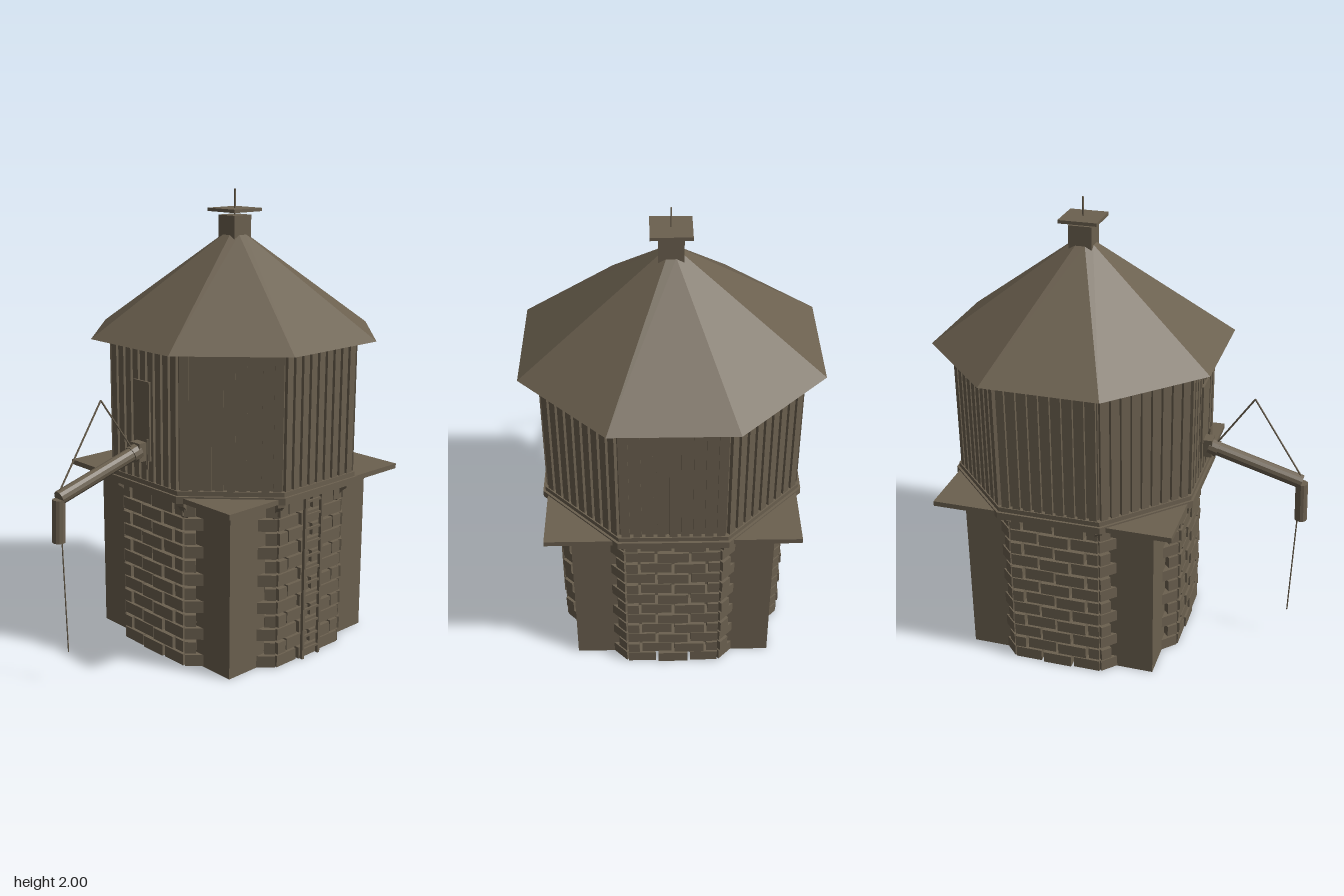
import * as THREE from 'three';
import { mergeGeometries } from 'three/addons/utils/BufferGeometryUtils.js';

const timber = new THREE.MeshStandardMaterial({ color: 0x6b604f, flatShading: true });
timber.name = 'weatheredBrown';

const CENTRE_Z = -0.2;
const COS = Math.cos(Math.PI / 8);

function add(parent, name, geometry, x = 0, y = 0, z = 0) {
  const mesh = new THREE.Mesh(geometry, timber);
  mesh.name = name;
  mesh.position.set(x, y, z);
  parent.add(mesh);
  return mesh;
}

// Octagonal prism or frustum, measured across the flats, from y0 to y1
function octagon(parent, name, aBottom, aTop, y0, y1) {
  const g = new THREE.CylinderGeometry(aTop / COS, aBottom / COS, y1 - y0, 8, 1);
  g.rotateY(Math.PI / 8);
  return add(parent, name, g, 0, (y0 + y1) / 2, 0);
}

function box(w, h, d, x, y, z) {
  return new THREE.BoxGeometry(w, h, d).translate(x, y, z);
}

// Round bar between two points
function bar(parent, name, a, b, r, sides = 6) {
  const p = new THREE.Vector3(...a), q = new THREE.Vector3(...b);
  const mesh = add(parent, name, new THREE.CylinderGeometry(r, r, p.distanceTo(q), sides));
  mesh.position.copy(p).add(q).multiplyScalar(0.5);
  mesh.quaternion.setFromUnitVectors(new THREE.Vector3(0, 1, 0), q.sub(p).normalize());
  return mesh;
}

// Repeat a list of geometries made for each of the eight sides
function aroundSides(parent, name, make, offset = 0) {
  const parts = [];
  for (let k = 0; k < 8; k++) {
    for (const g of make(k)) parts.push(g.rotateY(k * Math.PI / 4 + offset));
  }
  return add(parent, name, mergeGeometries(parts));
}

function stoneBase(tower) {
  octagon(tower, 'baseCore', 0.425, 0.425, 0, 0.765);
  add(tower, 'cornerPiers', new THREE.BoxGeometry(0.84, 0.745, 0.84), 0, 0.3725, 0);

  // Staggered courses of stone blocks
  const courses = [[-0.2, -0.07, 0.07, 0.2], [-0.2, -0.14, 0, 0.14, 0.2]];
  aroundSides(tower, 'stoneBlocks', (k) => {
    const blocks = [];
    for (let row = 0; row < 12; row++) {
      const e = courses[row % 2];
      for (let i = 0; i < e.length - 1; i++) {
        const mid = (e[i] + e[i + 1]) / 2;
        if (k % 2 && Math.abs(mid) < 0.1) continue; // hidden inside the piers
        const out = 0.48 + 0.006 * ((i + row) % 2);
        blocks.push(box(e[i + 1] - e[i] - 0.012, 0.052, out - 0.41,
          mid, 0.028 + row * 0.062, (out + 0.41) / 2));
      }
    }
    return blocks;
  });

  // Sloping brackets under the platform at the octagon corners
  const s = new THREE.Shape();
  s.moveTo(0.45, 0.64);
  s.lineTo(0.5, 0.66);
  s.quadraticCurveTo(0.51, 0.72, 0.545, 0.735);
  s.lineTo(0.545, 0.765);
  s.lineTo(0.45, 0.765);
  aroundSides(tower, 'brackets', () => [
    new THREE.ExtrudeGeometry(s, { depth: 0.03, bevelEnabled: false, curveSegments: 4 })
      .translate(0, 0, -0.015),
  ], Math.PI / 8);
}

function ladder(tower) {
  const g = new THREE.Group();
  g.name = 'ladder';
  for (const z of [-0.05, 0.05]) add(g, 'ladderRail', box(0.014, 0.755, 0.012, 0.494, 0.3775, z));
  for (let i = 0; i < 12; i++) add(g, 'ladderRung', box(0.01, 0.01, 0.1, 0.494, 0.04 + i * 0.062, 0));
  tower.add(g);
}

function tank(tower) {
  add(tower, 'platform', new THREE.BoxGeometry(1.04, 0.022, 1.04), 0, 0.772, 0);
  octagon(tower, 'platformRing', 0.54, 0.54, 0.76, 0.79);
  octagon(tower, 'tankSill', 0.53, 0.53, 0.79, 0.81);
  octagon(tower, 'tankCore', 0.51, 0.51, 0.8, 1.392);

  // Vertical planks with narrow gaps
  aroundSides(tower, 'tankPlanks', () => {
    const planks = [];
    for (let i = -4; i <= 4; i++) planks.push(box(0.033, 0.585, 0.02, i * 0.0475, 1.1, 0.515));
    return planks;
  });
}

function roof(tower) {
  octagon(tower, 'roof', 0.6, 0.046, 1.388, 1.81);
  add(tower, 'ventBox', box(0.1, 0.1, 0.1, 0, 1.84, 0));
  bar(tower, 'ventPost', [0, 1.88, 0], [0, 2, 0], 0.004);
  add(tower, 'ventCap', box(0.165, 0.014, 0.165, 0, 1.912, 0));
}

function spout(model) {
  const g = new THREE.Group();
  g.name = 'spout';
  add(g, 'spoutBoard', box(0.1, 0.34, 0.012, 0, 1.07, 0.328));
  add(g, 'spoutMount', box(0.06, 0.08, 0.045, 0, 0.94, 0.35));
  bar(g, 'spoutCollar', [0, 0.942, 0.355], [0, 0.93, 0.395], 0.036, 12);
  bar(g, 'spoutPipe', [0, 0.942, 0.36], [0, 0.825, 0.765], 0.03, 12);
  bar(g, 'spoutNozzle', [0, 0.82, 0.765], [0, 0.64, 0.772], 0.027, 12);
  bar(g, 'outerStay', [0, 0.85, 0.762], [0, 1.19, 0.545], 0.004);
  bar(g, 'innerStay', [0, 1.19, 0.545], [0, 0.955, 0.385], 0.004);
  bar(g, 'pullChain', [0, 0.65, 0.757], [0, 0.15, 0.742], 0.003);
  bar(g, 'valveLever', [0.05, 0.87, 0.345], [0.05, 1.0, 0.345], 0.005);
  model.add(g);
}

export function createModel() {
  const model = new THREE.Group();
  model.name = 'waterTower';
  const tower = new THREE.Group();
  tower.name = 'tower';
  tower.position.z = CENTRE_Z;
  model.add(tower);
  stoneBase(tower);
  ladder(tower);
  tank(tower);
  roof(tower);
  spout(model);
  return model;
}
